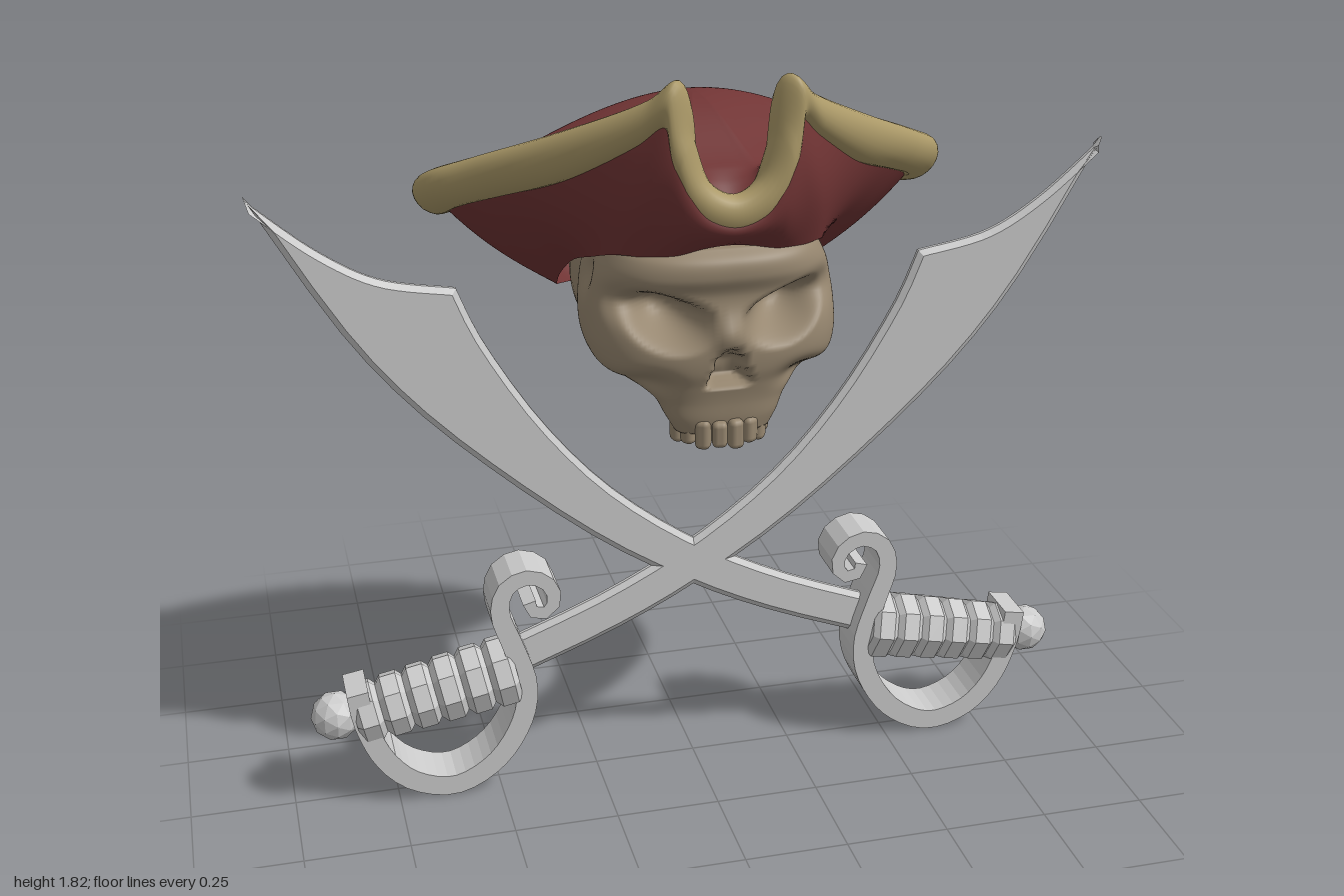
import * as THREE from 'three';
import { RoundedBoxGeometry } from 'three/addons/geometries/RoundedBoxGeometry.js';

const material = (color, extra = {}) => new THREE.MeshStandardMaterial({ color, ...extra });
const V = (x, y, z) => new THREE.Vector3(x, y, z);
const { lerp, smoothstep } = THREE.MathUtils;
const power = (v, e) => Math.sign(v) * Math.abs(v) ** e;
const bump = (a, a0, wa, b, b0, wb) => Math.exp(-(((a - a0) / wa) ** 2) - ((b - b0) / wb) ** 2);

function add(parent, name, geometry, mat, x = 0, y = 0, z = 0) {
  const mesh = new THREE.Mesh(geometry, mat);
  mesh.name = name;
  mesh.position.set(x, y, z);
  parent.add(mesh);
  return mesh;
}

// Skin over closed rings; each ring runs front -> left -> back -> right.
// With "tube" set, the last ring also joins the first.
function loft(rings, tube = false) {
  const n = rings[0].length, m = rings.length, index = [];
  for (let i = 0; i < (tube ? m : m - 1); i++) {
    for (let j = 0; j < n; j++) {
      const k = (j + 1) % n, up = ((i + 1) % m) * n;
      const a = i * n + j, b = i * n + k, c = up + k, d = up + j;
      index.push(a, b, c, a, c, d);
    }
  }
  const g = new THREE.BufferGeometry().setFromPoints(rings.flat());
  g.setIndex(index);
  g.computeVertexNormals();
  return g;
}

// Closed curve from the points of its left half, front centre to back centre
function mirroredCurve(half) {
  const left = half.map(p => V(...p));
  const right = left.slice(1, -1).reverse().map(p => V(-p.x, p.y, p.z));
  return new THREE.CatmullRomCurve3([...left, ...right], true);
}

function createSword() {
  const sword = new THREE.Group();
  const steel = material(0xcccccc);
  const faceted = material(0xcccccc, { flatShading: true });

  // Curved blade with a clipped point
  const back = [[-0.55, 1.29], [-0.49, 1.15], [-0.36, 0.94], [-0.2, 0.755], [0, 0.6], [0.22, 0.48], [0.47, 0.38]];
  const edge = [[0.43, 0.285], [0.2, 0.375], [0, 0.475], [-0.22, 0.615], [-0.45, 0.805], [-0.66, 1.01], [-0.82, 1.22], [-1, 1.535]];
  const smooth = pts => new THREE.SplineCurve(pts.map(p => new THREE.Vector2(...p))).getPoints(20);
  const outline = [...smooth(back), ...smooth(edge), ...smooth([[-0.98, 1.51], [-0.85, 1.4], [-0.72, 1.325], [-0.56, 1.292]])];
  const blade = new THREE.ExtrudeGeometry(new THREE.Shape(outline), {
    depth: 0.01, bevelThickness: 0.01, bevelSize: 0.014, bevelOffset: -0.014, bevelSegments: 1,
  });
  add(sword, 'blade', blade.translate(0, 0, -0.005), steel);

  // Ribbed grip
  const profile = [];
  for (let i = 0; i < 6; i++) {
    const y = i * 0.067, r = lerp(0.089, 0.078, i / 5);
    profile.push([r - 0.015, y], [r, y + 0.013], [r, y + 0.052], [r - 0.015, y + 0.065]);
  }
  const ribs = [[0, 0], ...profile, [0, 0.4]].map(p => new THREE.Vector2(...p));
  const grip = add(sword, 'grip', new THREE.LatheGeometry(ribs, 8), faceted, 0.45, 0.303, 0);
  grip.rotation.z = -1.768;
  add(sword, 'pommel', new THREE.IcosahedronGeometry(0.06, 1), faceted, 0.888, 0.23, 0);

  // Broad knuckle guard ending in a curl
  const path = new THREE.SplineCurve([
    [0.837, 0.31], [0.822, 0.22], [0.78, 0.12], [0.71, 0.05], [0.61, 0.026], [0.51, 0.08], [0.445, 0.18],
    [0.43, 0.28], [0.46, 0.39], [0.488, 0.48], [0.472, 0.545], [0.42, 0.57], [0.372, 0.548],
    [0.355, 0.505], [0.375, 0.472], [0.41, 0.478], [0.417, 0.502],
  ].map(p => new THREE.Vector2(...p)));
  const outer = [], inner = [];
  for (let i = 0; i <= 44; i++) {
    const p = path.getPointAt(i / 44), t = path.getTangentAt(i / 44);
    const w = lerp(0.026, 0.016, smoothstep(i / 44, 0.6, 1));
    outer.push(new THREE.Vector2(p.x - t.y * w, p.y + t.x * w));
    inner.unshift(new THREE.Vector2(p.x + t.y * w, p.y - t.x * w));
  }
  const guard = new THREE.ExtrudeGeometry(new THREE.Shape([...outer, ...inner]), { depth: 0.115, bevelEnabled: false });
  add(sword, 'guard', guard.translate(0, 0, -0.0575), steel);
  return sword;
}

function createSkull() {
  const skull = new THREE.Group();
  skull.name = 'skull';
  const bone = material(0x96866f);

  // Squarish cranium, its lower front rising towards the jaw
  const cranium = new THREE.SphereGeometry(1, 64, 40);
  const pos = cranium.attributes.position;
  for (let i = 0; i < pos.count; i++) {
    const [x, y, z] = [pos.getX(i), pos.getY(i), pos.getZ(i)].map(v => power(v, 0.9));
    pos.setXYZ(i, 0.268 * x, 1.275 + 0.225 * y + 0.03 * Math.max(0, z), -0.08 + 0.255 * z);
  }
  cranium.computeVertexNormals();
  add(skull, 'cranium', cranium, bone);

  // Face sections: half width, height y, front z, back z
  const sections = [
    [0.108, 1.005, 0.305, 0.2], [0.128, 1.04, 0.312, 0.18], [0.15, 1.08, 0.315, 0.14], [0.21, 1.12, 0.322, 0.06],
    [0.268, 1.16, 0.332, -0.03], [0.284, 1.2, 0.335, -0.08], [0.286, 1.26, 0.33, -0.11], [0.28, 1.33, 0.32, -0.12],
    [0.26, 1.375, 0.335, -0.1], [0.24, 1.41, 0.33, -0.08], [0.225, 1.435, 0.3, -0.05],
  ];
  const fronts = new THREE.CatmullRomCurve3(sections.map(s => V(s[0], s[1], s[2])));
  const backs = new THREE.CatmullRomCurve3(sections.map(s => V(s[3], s[1], 0)));
  const rings = [], N = 160, M = 80;
  for (let i = 0; i <= M; i++) {
    const s = fronts.getPoint(i / M), zb = backs.getPoint(i / M).x, y = s.y, ring = [];
    for (let j = 0; j < N; j++) {
      const a = j / N * Math.PI * 2;
      let x = s.x * power(Math.sin(a), 0.8);
      let z = (s.z + zb) / 2 + (s.z - zb) / 2 * power(Math.cos(a), 0.72);
      const ax = Math.abs(x);
      if (Math.cos(a) > 0) {
        // Eye sockets under a slanted, overhanging brow
        const ex = ax - 0.13, ey = y - 1.285;
        const r = Math.hypot((ex + ey * 0.3) / 0.108, (ey - ex * 0.3) / 0.08);
        const brow = 1 - smoothstep(y - 0.38 * ex, 1.31, 1.345);
        z -= 0.12 * brow * (1 - smoothstep(r, 0.1, 1.1));
        z -= 0.03 * bump(ax, 0.23, 0.04, y, 1.31, 0.04);
        // Nose opening and bridge
        const nose = ax / (0.014 + 0.42 * Math.max(0, 1.215 - y));
        const inNose = smoothstep(y, 1.115, 1.135) * (1 - smoothstep(y, 1.195, 1.22));
        z -= 0.06 * inNose * (1 - smoothstep(nose, 0.6, 1.1));
        z += 0.022 * bump(ax, 0, 0.03, y, 1.245, 0.035);
        // Hollows beneath the cheekbones
        z -= 0.045 * bump(ax, 0.18, 0.05, y, 1.125, 0.03);
      }
      // Temple hollow behind the brow
      x *= 1 - 0.1 * bump(y, 1.33, 0.04, z, 0.08, 0.06);
      ring.push(V(x, y, z));
    }
    rings.push(ring);
  }
  rings.unshift(rings[0].map(() => V(0, 1.005, 0.25)));
  rings.push(rings[0].map(() => V(0, 1.44, 0.12)));
  add(skull, 'face', loft(rings), bone);

  // Upper teeth along the jaw arc
  for (let i = 0; i < 8; i++) {
    const a = (i - 3.5) * 0.37, h = 0.07 - 0.008 * (i % 2);
    const tooth = add(skull, 'tooth', new RoundedBoxGeometry(0.035, h, 0.034, 2, 0.013), bone,
      0.1 * Math.sin(a), 0.97 + 0.006 * (i % 2) + h / 2, 0.215 + 0.1 * Math.cos(a));
    tooth.rotation.y = a;
  }
  return skull;
}

function createHat() {
  const hat = new THREE.Group();
  hat.name = 'hat';
  const rim = mirroredCurve([
    [0, 1.535, 0.355], [0.06, 1.565, 0.355], [0.1, 1.66, 0.355], [0.126, 1.782, 0.34], [0.18, 1.735, 0.3],
    [0.34, 1.64, 0.17], [0.49, 1.565, 0.035], [0.57, 1.52, -0.05], [0.588, 1.485, -0.12], [0.53, 1.465, -0.2],
    [0.4, 1.445, -0.28], [0.2, 1.43, -0.34], [0, 1.425, -0.36],
  ]);
  const opening = mirroredCurve([
    [0, 1.44, 0.3], [0.06, 1.435, 0.3], [0.12, 1.42, 0.295], [0.18, 1.42, 0.275], [0.23, 1.415, 0.23],
    [0.265, 1.385, 0.14], [0.285, 1.34, 0.02], [0.298, 1.28, -0.07], [0.295, 1.235, -0.13], [0.275, 1.21, -0.2],
    [0.22, 1.185, -0.285], [0.11, 1.17, -0.34], [0, 1.17, -0.355],
  ]);
  const N = 192, rings = [];
  const rimPoints = Array.from({ length: N }, (_, j) => rim.getPoint(j / N));
  const basePoints = Array.from({ length: N }, (_, j) => opening.getPoint(j / N));
  const downs = rimPoints.map((p, j) => basePoints[j].clone().sub(p).normalize());
  const outs = downs.map((d, j) => rim.getTangent(j / N).cross(d).normalize().negate());

  // Turned-up outer side, swelling slightly and more so at the front
  for (let i = 0; i <= 12; i++) {
    const t = i / 12;
    rings.push(rimPoints.map((p, j) => {
      const q = basePoints[j].clone().lerp(p, t);
      const side = 1 - smoothstep(p.z, 0.15, 0.35);
      q.addScaledVector(outs[j], 0.018 * side * Math.sin(Math.PI * t));
      q.z += 0.055 * (1 - side) * Math.sin(Math.PI * t);
      return q;
    }));
  }
  // Brim falling into a valley, then rising to the crown
  for (let i = 1; i <= 32; i++) {
    const s = i / 32;
    rings.push(rimPoints.map(p => {
      const x = p.x * (1 - s), z = p.z * (1 - s);
      const valley = 1.555 + 0.15 * z;
      const brim = lerp(p.y, valley, smoothstep(s, 0, 0.28));
      return V(x, lerp(brim, 1.71, smoothstep(s, 0.22, 1) ** 0.62), z);
    }));
  }
  add(hat, 'hatBody', loft(rings), material(0x703434, { side: THREE.DoubleSide }));

  // Wide trim folded over the rim: an oval section lying along the outer side
  const trim = Array.from({ length: 20 }, (_, i) => {
    const a = i / 20 * Math.PI * 2;
    return rimPoints.map((p, j) => p.clone()
      .addScaledVector(downs[j], 0.018 - 0.054 * Math.sin(a))
      .addScaledVector(outs[j], 0.04 * Math.cos(a)));
  });
  add(hat, 'hatTrim', loft(trim, true), material(0xab9968, { side: THREE.DoubleSide }));
  return hat;
}

export function createModel() {
  const model = new THREE.Group();
  model.name = 'skullAndCrossedSwords';
  const leftSword = createSword(), rightSword = createSword();
  leftSword.name = 'leftSword';
  rightSword.name = 'rightSword';
  rightSword.rotation.y = Math.PI;
  model.add(leftSword, rightSword, createSkull(), createHat());
  return model;
}
